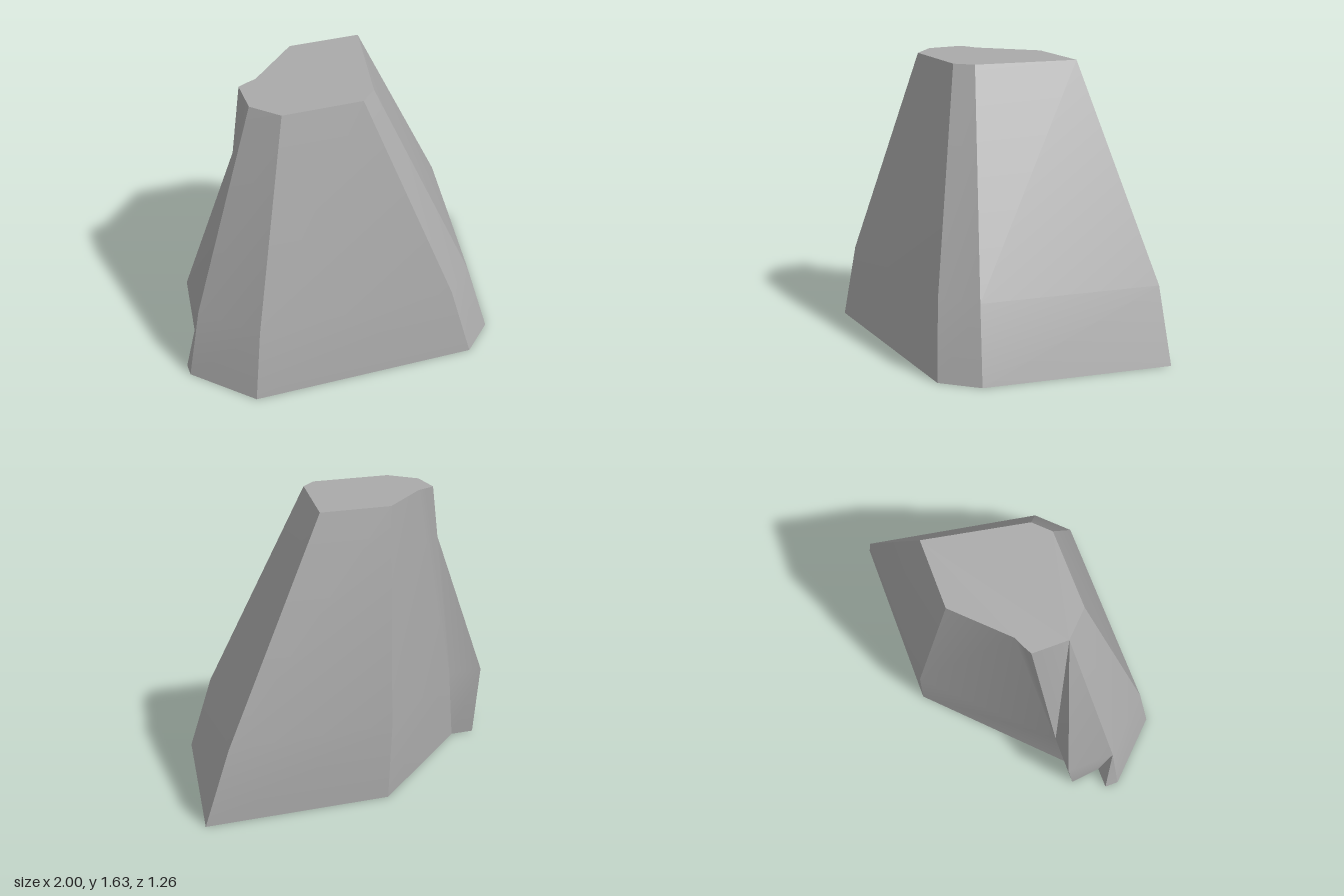
import * as THREE from 'three';
import { toCreasedNormals } from 'three/addons/utils/BufferGeometryUtils.js';

// Heights of the foot, shoulder and summit rings
const LEVELS = [0, 0.43, 1.63];

// Each ridge of the rock as x, z at foot, shoulder and summit, clockwise from above
const RIDGES = [
  [-0.06, -0.63, -0.08, -0.63, -0.14, -0.43],
  [1.0, -0.63, 0.86, -0.63, 0.27, -0.43],
  [0.8, 0.45, 0.68, 0.4, 0.16, 0.16],
  [0.62, 0.63, 0.51, 0.57, 0.07, 0.25],
  [-0.69, 0.63, -0.64, 0.57, -0.39, 0.25],
  [-1.0, 0.31, -0.92, 0.28, -0.53, 0.11],
  // chipped corner with a small notch at the foot
  [-1.0, 0.23, -0.92, 0.28, -0.53, 0.11],
  [-0.88, 0.23, -0.92, 0.28, -0.53, 0.11],
  [-0.9, 0.05, -0.92, 0.0, -0.53, 0.11],
  [-0.76, 0.05, -0.71, 0.0, -0.53, 0.11],
  [-0.76, 0.05, -0.71, 0.0, -0.53, -0.1],
  [-0.76, 0.05, -0.71, 0.0, -0.48, -0.125],
  [-0.76, 0.05, -0.71, 0.0, -0.42, -0.15],
];

const point = (ridge, level) =>
  new THREE.Vector3(ridge[level * 2], LEVELS[level], ridge[level * 2 + 1]);

function makeGeometry(triangles) {
  const positions = [];
  for (const [a, b, c] of triangles) {
    const area = b.clone().sub(a).cross(c.clone().sub(a)).length();
    if (area > 1e-6) for (const p of [a, b, c]) positions.push(p.x, p.y, p.z);
  }
  const geometry = new THREE.BufferGeometry();
  geometry.setAttribute('position', new THREE.Float32BufferAttribute(positions, 3));
  return toCreasedNormals(geometry, 0.5);
}

// Sloping faces between neighbouring ridges
function sideTriangles() {
  const triangles = [];
  RIDGES.forEach((ridge, i) => {
    const next = RIDGES[(i + 1) % RIDGES.length];
    for (let k = 0; k < 2; k++) {
      const a = point(ridge, k), b = point(next, k);
      const c = point(ridge, k + 1), d = point(next, k + 1);
      triangles.push([b, a, c], [b, c, d]);
    }
  });
  return triangles;
}

// Flat cap over one ring, facing up or down
function capTriangles(level, up) {
  const ring = RIDGES.map((r) => point(r, level))
    .filter((p, i, all) => p.distanceTo(all[(i + 1) % all.length]) > 1e-4);
  const outline = ring.map((p) => new THREE.Vector2(p.x, p.z));
  return THREE.ShapeUtils.triangulateShape(outline, []).map(([i, j, k]) => {
    const [a, b, c] = [ring[i], ring[j], ring[k]];
    const normalY = b.clone().sub(a).cross(c.clone().sub(a)).y;
    return normalY > 0 === up ? [a, b, c] : [a, c, b];
  });
}

export function createModel() {
  const stone = new THREE.MeshStandardMaterial({ color: 0xaaaaaa });
  stone.name = 'grey stone';

  const model = new THREE.Group();
  model.name = 'rock';
  const parts = {
    rockSides: sideTriangles(),
    rockSummit: capTriangles(2, true),
    rockUnderside: capTriangles(0, false),
  };
  for (const [name, triangles] of Object.entries(parts)) {
    const mesh = new THREE.Mesh(makeGeometry(triangles), stone);
    mesh.name = name;
    model.add(mesh);
  }
  return model;
}
